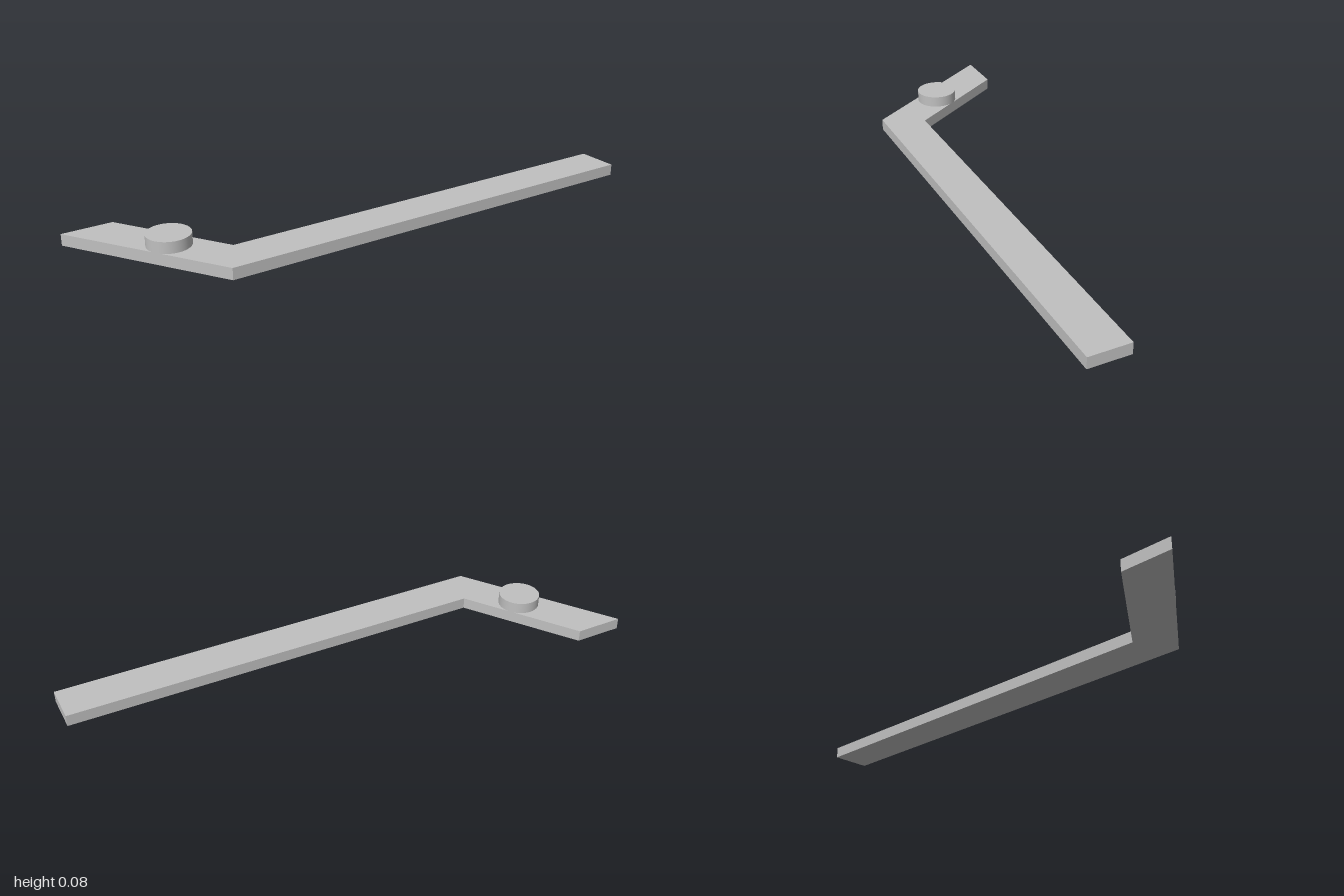
import * as THREE from 'three';

export function createModel() {
  const model = new THREE.Group();
  const grey = new THREE.MeshStandardMaterial({ color: 0xc0c0c0 });
  grey.name = 'light grey';
  const thickness = 0.042;

  // Flat cranked bar, outlined in plan as (x, z) and extruded upwards
  const outline = [
    [-1, -0.271], [-0.82, -0.271], [-0.565, 0.121],
    [1, 0.121], [1, 0.271], [-0.645, 0.271],
  ];
  const shape = new THREE.Shape(outline.map(([x, z]) => new THREE.Vector2(x, -z)));
  const barGeometry = new THREE.ExtrudeGeometry(shape, { depth: thickness, bevelEnabled: false });
  barGeometry.rotateX(-Math.PI / 2);
  const bar = new THREE.Mesh(barGeometry, grey);
  bar.name = 'crankedBar';
  model.add(bar);

  // Round boss standing on the short arm
  const bossHeight = 0.041;
  const boss = new THREE.Mesh(new THREE.CylinderGeometry(0.076, 0.076, bossHeight, 64), grey);
  boss.name = 'pivotBoss';
  boss.position.set(-0.734, thickness + bossHeight / 2, 0);
  model.add(boss);

  return model;
}
